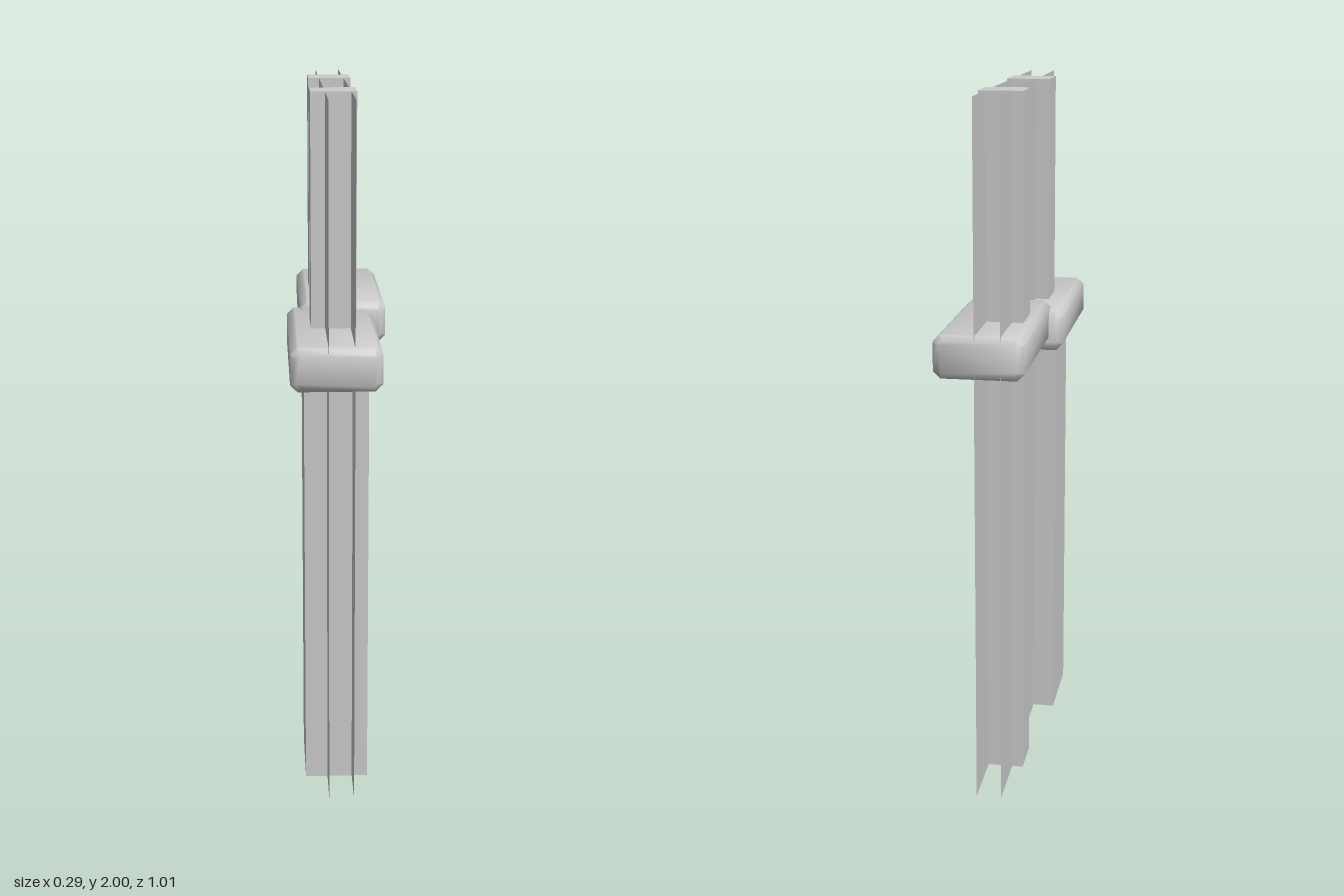
import * as THREE from 'three';
import { toCreasedNormals } from 'three/addons/utils/BufferGeometryUtils.js';

const grey = new THREE.MeshStandardMaterial({ color: 0xcccccc });
const greyDouble = new THREE.MeshStandardMaterial({ color: 0xcccccc, side: THREE.DoubleSide });

// Chamfered bar running along z, given as [min, max] ranges
function bar(name, [x0, x1], [y0, y1], [z0, z1]) {
  const w = (x1 - x0) / 2, h = (y1 - y0) / 2, c = 0.02, b = 0.016;
  const shape = new THREE.Shape([
    [w - c, -h], [w, -h + c], [w, h - c], [w - c, h],
    [-w + c, h], [-w, h - c], [-w, -h + c], [-w + c, -h],
  ].map(([x, y]) => new THREE.Vector2(x, y)));
  const geo = new THREE.ExtrudeGeometry(shape, {
    depth: z1 - z0 - 2 * b, bevelEnabled: true, bevelSegments: 1,
    bevelSize: b, bevelOffset: -b, bevelThickness: b,
  });
  geo.center();
  const mesh = new THREE.Mesh(toCreasedNormals(geo, 0.85), grey);
  mesh.name = name;
  mesh.position.set((x0 + x1) / 2, (y0 + y1) / 2, (z0 + z1) / 2);
  return mesh;
}

// Square-edged post; openBottom leaves out the lower face
function post(name, [x0, x1], [y0, y1], [z0, z1], openBottom = false) {
  const geo = new THREE.BoxGeometry(x1 - x0, y1 - y0, z1 - z0);
  if (openBottom) {
    const index = Array.from(geo.index.array);
    index.splice(18, 6);
    geo.setIndex(index);
    geo.clearGroups();
  }
  const mesh = new THREE.Mesh(geo, openBottom ? greyDouble : grey);
  mesh.name = name;
  mesh.position.set((x0 + x1) / 2, (y0 + y1) / 2, (z0 + z1) / 2);
  return mesh;
}

export function createModel() {
  const model = new THREE.Group();
  model.name = 'panelWithPosts';

  // Two overlapping cross bars
  model.add(bar('frontCrossBar', [-0.147, 0.105], [1.22, 1.343], [-0.03, 0.505]));
  model.add(bar('backCrossBar', [-0.107, 0.145], [1.243, 1.365], [-0.505, 0.025]));

  // Posts: the front one is thicker below the bar
  model.add(post('frontLowerPost', [-0.107, 0.075], [0, 1.23], [0.12, 0.37]));
  model.add(post('frontUpperPost', [-0.083, 0.045], [1.28, 2], [0.135, 0.262]));
  model.add(post('backPost', [-0.075, 0.05], [0, 2], [-0.308, -0.183], true));

  // Pair of thin full-height sheets
  for (const [name, x] of [['leftSheet', 0.029], ['rightSheet', -0.043]]) {
    const sheet = new THREE.Mesh(new THREE.PlaneGeometry(1.01, 2), greyDouble);
    sheet.name = name;
    sheet.rotation.y = Math.sign(x) * Math.PI / 2;
    sheet.position.set(x, 1, 0);
    model.add(sheet);
  }
  return model;
}
